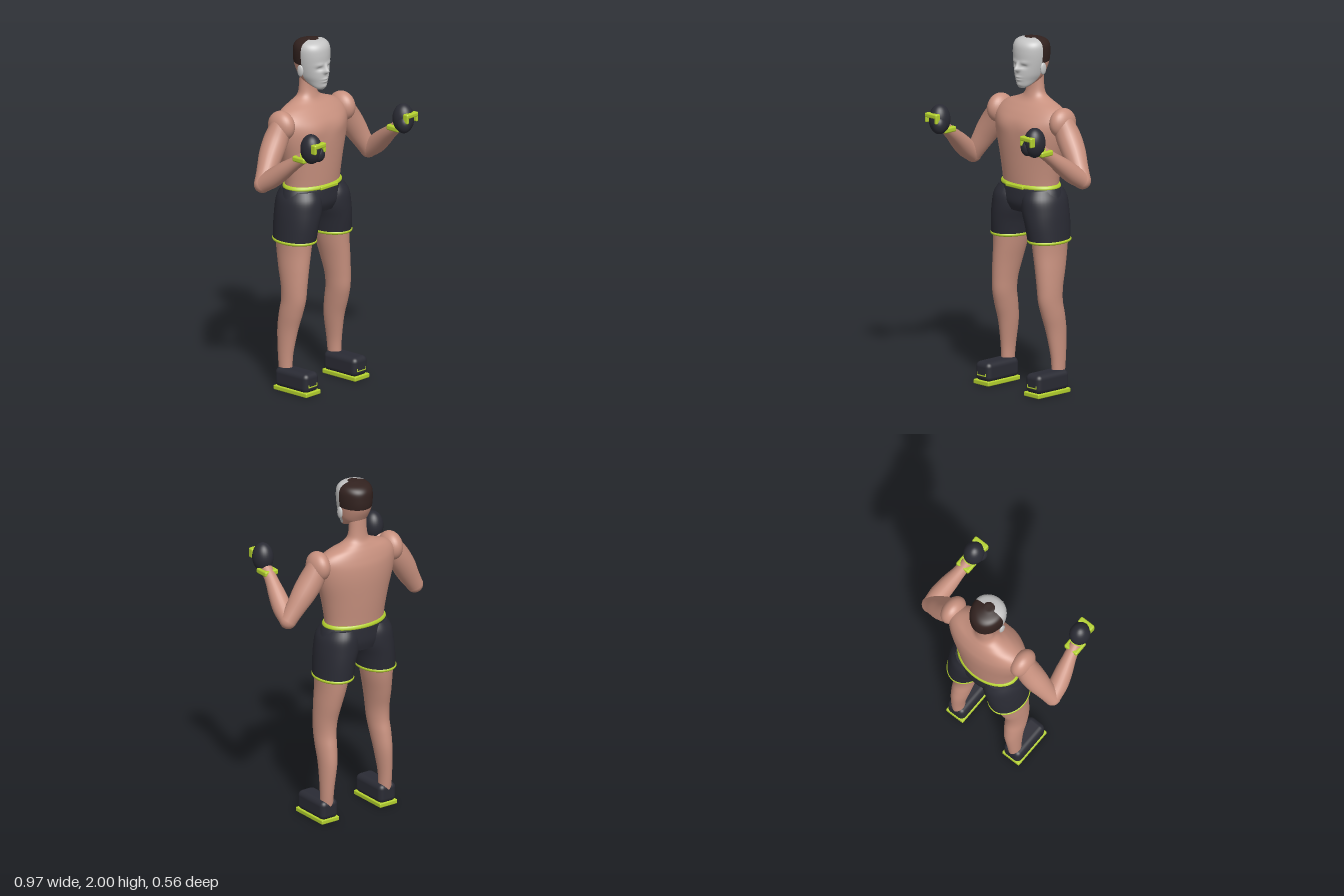
import * as THREE from 'three';
import { RoundedBoxGeometry } from 'three/addons/geometries/RoundedBoxGeometry.js';

const material = (name, color) => {
  const m = new THREE.MeshStandardMaterial({ color });
  m.name = name;
  return m;
};

// Smooth interpolation through a list of numeric rows
function spline(rows, i, t) {
  const at = (k) => rows[Math.min(Math.max(k, 0), rows.length - 1)];
  const [a, b, c, d] = [at(i - 1), at(i), at(i + 1), at(i + 2)];
  return b.map((v, k) => {
    const m0 = (c[k] - a[k]) / 2, m1 = (d[k] - v) / 2;
    return v + m0 * t + (3 * (c[k] - v) - 2 * m0 - m1) * t * t + (2 * (v - c[k]) + m0 + m1) * t * t * t;
  });
}

// Upright loft. Rows run upward: [y, centre x, half width, front z, back z, seam z]
function loft(rows, { seg = 40, steps = 5, bump = null, paint = () => 0, colours = 1 } = {}) {
  const pos = [], lists = Array.from({ length: colours }, () => []);
  const n = (rows.length - 1) * steps;
  const ring = (j) => {
    const i = Math.min(Math.floor(j / steps), rows.length - 2);
    const [y, cx, hw, front, back, s] = spline(rows, i, j / steps - i);
    const seam = s ?? (front + back) / 2;
    for (let k = 0; k < seg; k++) {
      const a = (k / seg) * Math.PI * 2, sin = Math.sin(a), x = hw * Math.cos(a);
      const z = seam + sin * (sin > 0 ? front - seam : seam - back);
      pos.push(cx + x, y, z + (bump && sin > 0.2 ? bump(x, y) : 0));
    }
    return [cx, y, seam];
  };
  for (let j = 0; j <= n; j++) ring(j);
  for (let j = 0; j < n; j++) for (let k = 0; k < seg; k++) {
    const a = j * seg + k, b = j * seg + (k + 1) % seg;
    const y = (pos[a * 3 + 1] + pos[(a + seg) * 3 + 1]) / 2;
    lists[paint(y, k < seg / 2)].push(a, a + seg, b, b, a + seg, b + seg);
  }
  // End caps with their own vertices
  for (const j of [0, n]) {
    const start = pos.length / 3, c = ring(j);
    pos.push(...c);
    for (let k = 0; k < seg; k++) {
      const a = start + k, b = start + (k + 1) % seg;
      lists[paint(c[1], k < seg / 2)].push(start + seg, ...(j ? [b, a] : [a, b]));
    }
  }
  const g = new THREE.BufferGeometry();
  g.setAttribute('position', new THREE.Float32BufferAttribute(pos, 3));
  g.setIndex(lists.flat());
  let offset = 0;
  lists.forEach((l, i) => { g.addGroup(offset, l.length, i); offset += l.length; });
  g.computeVertexNormals();
  return g;
}

// Tube with a changing radius; points are [x, y, z, radius]
function limb(points, s) {
  const curve = new THREE.CatmullRomCurve3(points.map(([x, y, z]) => new THREE.Vector3(x * s, y, z)));
  const n = 24, seg = 24, g = new THREE.TubeGeometry(curve, n, 1, seg), p = g.attributes.position;
  const radii = points.map((q) => [q[3]]), v = new THREE.Vector3();
  for (let j = 0; j <= n; j++) {
    const u = (j / n) * (points.length - 1), i = Math.min(Math.floor(u), points.length - 2);
    const c = curve.getPointAt(j / n), r = spline(radii, i, u - i)[0];
    for (let k = 0; k <= seg; k++) {
      const id = j * (seg + 1) + k;
      v.fromBufferAttribute(p, id).sub(c).multiplyScalar(r).add(c);
      p.setXYZ(id, v.x, v.y, v.z);
    }
  }
  return g;
}

export function createModel() {
  const model = new THREE.Group();
  model.name = 'fighter';
  const skin = material('skin', 0xc8917f), dark = material('charcoal', 0x2a2b34);
  const lime = material('lime', 0xb4d12f), pale = material('pale mask', 0xc4c4c4), hair = material('hair', 0x32221f);

  const add = (name, geometry, mat, x = 0, y = 0, z = 0, parent = model) => {
    const mesh = new THREE.Mesh(geometry, mat);
    mesh.name = name;
    mesh.position.set(x, y, z);
    parent.add(mesh);
    return mesh;
  };
  const ball = (rx, ry, rz) => new THREE.SphereGeometry(1, 32, 20).scale(rx, ry, rz);
  const box = (w, h, d, r) => new RoundedBoxGeometry(w, h, d, 4, r);
  const hill = (x, y, cx, cy, sx, sy) => Math.exp(-(((Math.abs(x) - cx) / sx) ** 2) - ((y - cy) / sy) ** 2);

  // Torso and neck
  add('torso', loft([
    [1.12, 0, 0.183, -0.018, -0.252], [1.2, 0, 0.187, -0.01, -0.26], [1.32, 0, 0.21, -0.002, -0.272],
    [1.44, 0, 0.243, 0.002, -0.28], [1.52, 0, 0.256, -0.008, -0.277], [1.57, 0, 0.248, -0.035, -0.265],
    [1.61, 0, 0.2, -0.07, -0.25], [1.64, 0, 0.12, -0.1, -0.235], [1.67, 0, 0.068, -0.115, -0.22],
    [1.72, 0, 0.054, -0.125, -0.213], [1.8, 0, 0.051, -0.125, -0.21],
  ], { seg: 56, bump: (x, y) => 0.008 * hill(x, y, 0.1, 1.5, 0.07, 0.05) }), skin);

  // Head: mask in front, hair above the nape line at the back
  const face = (x, y) => {
    const noseRise = y > 1.826 ? Math.max(0, 1 - (y - 1.826) / 0.05) : Math.max(0, 1 - (1.826 - y) / 0.016);
    return 0.031 * noseRise * Math.exp(-((x / (0.009 + 0.007 * noseRise)) ** 2))
      - 0.011 * hill(x, y, 0.036, 1.845, 0.018, 0.01) + 0.005 * hill(x, y, 0.035, 1.868, 0.025, 0.009)
      + 0.007 * hill(x, y, 0, 1.783, 0.022, 0.006) + 0.007 * hill(x, y, 0, 1.767, 0.02, 0.006)
      + 0.005 * hill(x, y, 0, 1.738, 0.02, 0.012);
  };
  add('head', loft([
    [1.718, 0, 0.022, -0.052, -0.075, -0.064], [1.735, 0, 0.044, -0.042, -0.12, -0.085],
    [1.765, 0, 0.064, -0.035, -0.19, -0.118], [1.8, 0, 0.081, -0.032, -0.218, -0.13],
    [1.86, 0, 0.094, -0.034, -0.247, -0.13], [1.92, 0, 0.1, -0.034, -0.25, -0.13],
    [1.96, 0, 0.096, -0.041, -0.243, -0.13], [1.985, 0, 0.076, -0.062, -0.215, -0.13],
    [1.998, 0, 0.034, -0.098, -0.165, -0.13], [2.0, 0, 0.015, -0.115, -0.145, -0.13],
  ], {
    seg: 96, steps: 8, bump: face, colours: 3,
    paint: (y, front) => (y > 1.998 ? 2 : front ? 1 : y > 1.86 ? 2 : 0),
  }), [skin, pale, hair]);

  // Shorts: hips and waistband
  add('shortsHips', loft([
    [1.02, 0, 0.17, -0.02, -0.25], [1.07, 0, 0.222, 0, -0.262],
    [1.13, 0, 0.212, -0.002, -0.262], [1.17, 0, 0.19, -0.008, -0.26],
  ]), dark);
  add('waistband', loft([
    [1.157, 0, 0.196, -0.004, -0.264], [1.163, 0, 0.198, -0.002, -0.266],
    [1.172, 0, 0.194, -0.005, -0.264], [1.178, 0, 0.188, -0.01, -0.26],
  ], { seg: 56 }), lime);
  add('waistTab', box(0.14, 0.02, 0.03, 0.006), lime, 0, 1.163, -0.015);

  for (const s of [1, -1]) {
    const side = new THREE.Group();
    side.name = s > 0 ? 'leftSide' : 'rightSide';
    model.add(side);
    const part = (name, g, m, x = 0, y = 0, z = 0) => add(name, g, m, x * s, y, z, side);
    const column = (rows) => loft(rows.map(([y, cx, ...r]) => [y, cx * s, ...r]));

    part('ear', ball(0.011, 0.034, 0.021), pale, 0.097, 1.83, -0.135);

    // Arm
    part('shoulder', ball(0.06, 0.085, 0.086), skin, 0.248, 1.545, -0.138);
    part('upperArm', limb([
      [0.25, 1.55, -0.138, 0.06], [0.29, 1.48, -0.138, 0.07], [0.35, 1.39, -0.13, 0.067],
      [0.4, 1.31, -0.118, 0.056], [0.435, 1.255, -0.11, 0.048],
    ], s), skin);
    part('elbow', ball(0.048, 0.048, 0.048), skin, 0.435, 1.254, -0.11);
    part('forearm', limb([
      [0.435, 1.253, -0.11, 0.047], [0.425, 1.3, -0.045, 0.054], [0.41, 1.36, 0.03, 0.049],
      [0.395, 1.415, 0.1, 0.038], [0.385, 1.46, 0.16, 0.033],
    ], s), skin);

    // Glove
    part('glove', ball(0.058, 0.085, 0.063), dark, 0.378, 1.515, 0.205);
    part('gloveThumb', ball(0.038, 0.05, 0.042), dark, 0.352, 1.49, 0.232);
    part('gloveBar', box(0.09, 0.026, 0.035, 0.008), lime, 0.378, 1.545, 0.262);
    for (const dx of [-0.038, 0.038]) part('gloveTab', box(0.018, 0.055, 0.035, 0.007), lime, 0.378 + dx, 1.53, 0.26);
    part('gloveCuff', box(0.09, 0.032, 0.09, 0.01), lime, 0.386, 1.45, 0.152);

    // Shorts leg and hem
    part('shortsLeg', column([
      [0.86, 0.145, 0.104, -0.001, -0.267], [0.95, 0.135, 0.109, 0.01, -0.273], [1.03, 0.119, 0.118, 0.014, -0.275],
      [1.1, 0.112, 0.111, 0.008, -0.27], [1.15, 0.105, 0.09, -0.02, -0.25],
    ]), dark);
    part('shortsHem', column([
      [0.854, 0.145, 0.104, -0.002, -0.266], [0.859, 0.145, 0.108, 0.003, -0.271],
      [0.866, 0.145, 0.108, 0.003, -0.271], [0.871, 0.144, 0.104, -0.001, -0.267],
    ]), lime);

    // Leg
    part('leg', column([
      [0.1, 0.2, 0.034, -0.11, -0.19], [0.2, 0.199, 0.037, -0.105, -0.2], [0.34, 0.19, 0.048, -0.08, -0.21],
      [0.44, 0.186, 0.055, -0.05, -0.2], [0.52, 0.182, 0.058, -0.03, -0.186], [0.6, 0.178, 0.0625, -0.025, -0.19],
      [0.7, 0.169, 0.071, -0.022, -0.215], [0.8, 0.157, 0.081, -0.02, -0.237], [0.9, 0.15, 0.092, -0.015, -0.25],
    ]), skin);

    // Shoe
    part('shoe', box(0.115, 0.112, 0.245, 0.03), dark, 0.2, 0.074, -0.067);
    part('sole', box(0.12, 0.026, 0.25, 0.006), lime, 0.2, 0.013, -0.065);
    part('toeStripe', box(0.07, 0.008, 0.012, 0.003), lime, 0.2, 0.054, 0.051);
    for (const dx of [-0.033, 0.033]) part('toeMark', box(0.008, 0.02, 0.012, 0.003), lime, 0.2 + dx, 0.061, 0.05);
  }
  return model;
}
